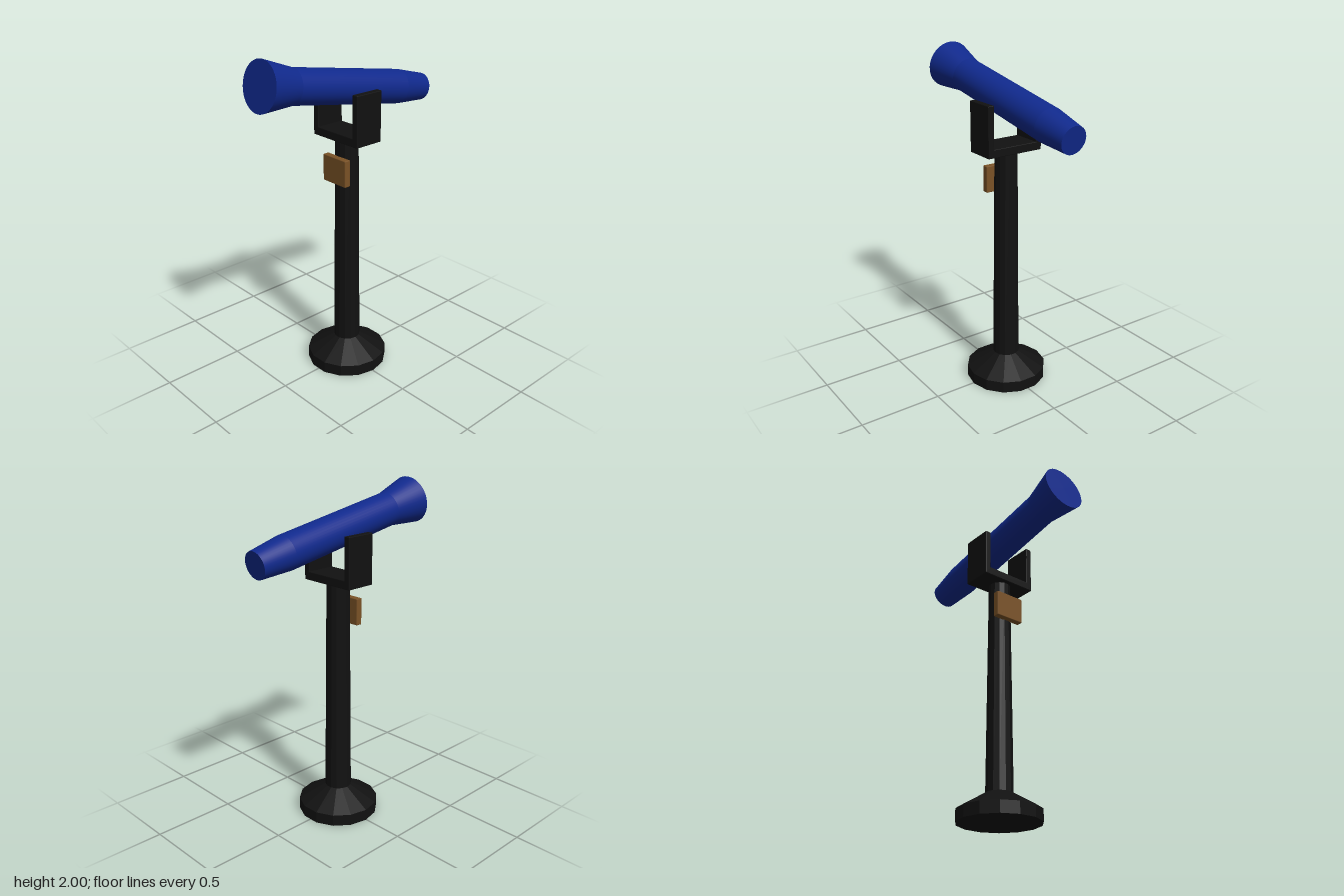
import * as THREE from 'three';
import { RoundedBoxGeometry } from 'three/addons/geometries/RoundedBoxGeometry.js';

const SIDES = 14;
const CENTER_Z = -0.005;

function material(name, color, flatShading = false) {
  const m = new THREE.MeshStandardMaterial({ color, flatShading });
  m.name = name;
  return m;
}

function addMesh(parent, name, geometry, mat, x = 0, y = 0, z = 0) {
  const mesh = new THREE.Mesh(geometry, mat);
  mesh.name = name;
  mesh.position.set(x, y, z);
  parent.add(mesh);
  return mesh;
}

// Truncated cone between two heights, optionally capped
function frustum(r0, r1, y0, y1, sides, open = false) {
  const g = new THREE.CylinderGeometry(r1, r0, y1 - y0, sides, 1, open, Math.PI / 2);
  return g.translate(0, (y0 + y1) / 2, 0);
}

export function createModel() {
  const model = new THREE.Group();
  model.name = 'pedestalTelescope';
  const black = material('black', 0x111111, true);
  const blue = material('blue', 0x10298c);
  const brown = material('brown', 0x7a5226);

  // Faceted foot and tapered column
  const stand = new THREE.Group();
  stand.name = 'stand';
  stand.position.z = CENTER_Z;
  model.add(stand);
  addMesh(stand, 'foot', frustum(0.243, 0.243, 0, 0.07, SIDES), black);
  addMesh(stand, 'footSlope', frustum(0.243, 0.08, 0.07, 0.165, SIDES, true), black);
  addMesh(stand, 'column', frustum(0.08, 0.067, 0.165, 1.47, SIDES), black);

  // U-shaped fork with slightly softened edges
  const fork = new THREE.Group();
  fork.name = 'fork';
  stand.add(fork);
  addMesh(fork, 'forkBase', new RoundedBoxGeometry(0.36, 0.05, 0.185, 1, 0.004), black, 0, 1.486, 0);
  for (const side of [-1, 1]) {
    addMesh(fork, side > 0 ? 'leftArm' : 'rightArm',
      new RoundedBoxGeometry(0.037, 0.296, 0.185, 1, 0.004), black, side * 0.1615, 1.609, 0);
  }

  // Plaque on the front of the column
  addMesh(model, 'plaque', new RoundedBoxGeometry(0.186, 0.16, 0.04, 1, 0.005), brown, 0, 1.285, 0.075);

  // Telescope tube, raised ten degrees toward the front
  const telescope = new THREE.Group();
  telescope.name = 'telescope';
  telescope.position.set(0, 1.76, -0.004);
  telescope.rotation.x = THREE.MathUtils.degToRad(80);
  model.add(telescope);
  const sections = [
    ['eyepiece', 0.08, 0.1, -0.605, -0.4],
    ['barrel', 0.1, 0.1, -0.4, 0.4],
    ['flaredHood', 0.1, 0.14, 0.4, 0.605],
  ];
  for (const [name, r0, r1, y0, y1] of sections) {
    addMesh(telescope, name, frustum(r0, r1, y0, y1, 40, name === 'barrel'), blue);
  }

  return model;
}
